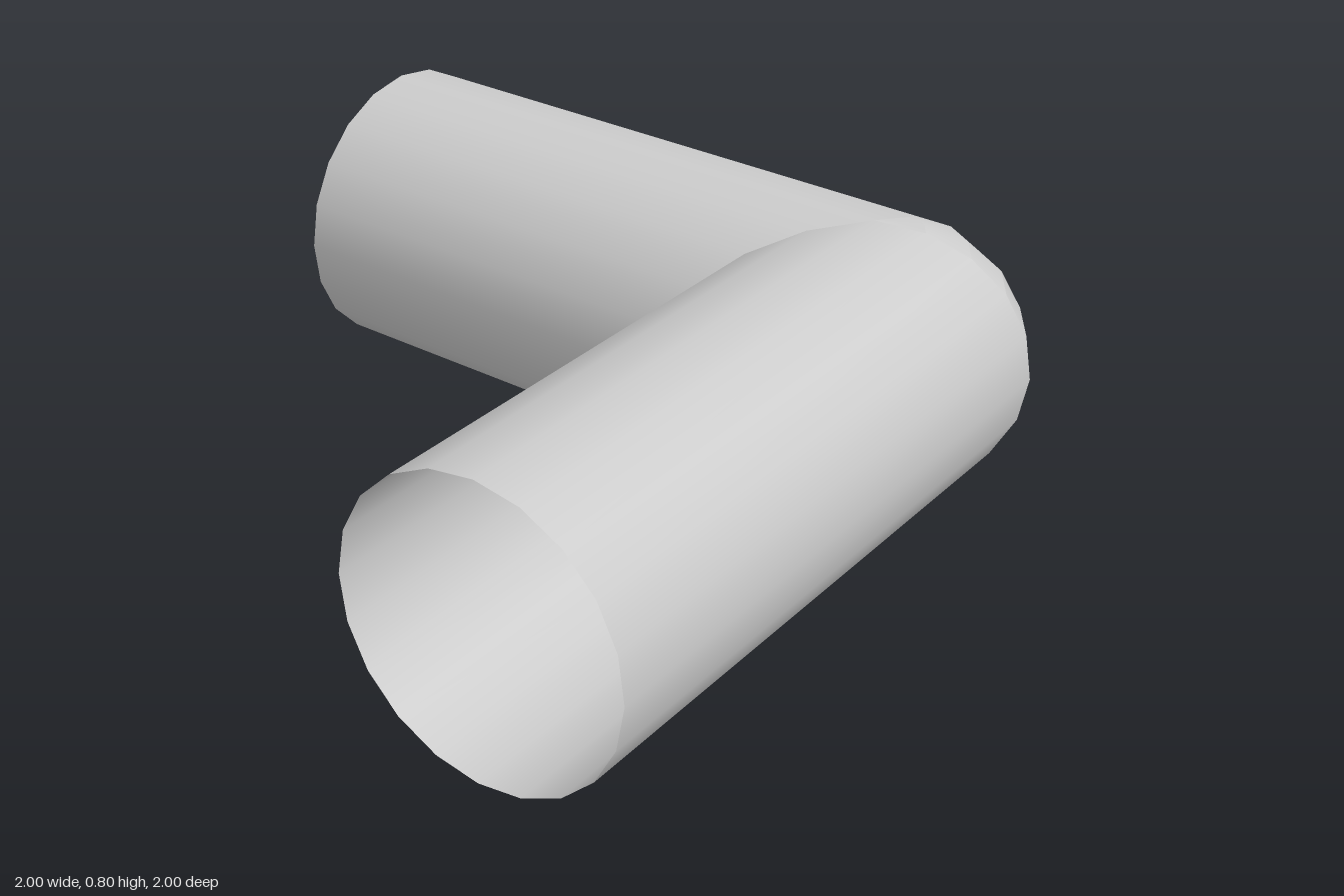
import * as THREE from 'three';
import { mergeGeometries } from 'three/addons/utils/BufferGeometryUtils.js';

const R = 0.4;          // pipe radius
const C = 0.6;          // corner axis at x = C, z = -C
const SIDES = 20;
const BEND = Math.PI / 8;

// Surface between two rows of {p, n} points
function strip(a, b) {
  const geo = new THREE.BufferGeometry();
  const rows = [...a, ...b], m = a.length, index = [];
  for (let i = 0; i < m - 1; i++) index.push(i, i + 1, m + i, i + 1, m + i + 1, m + i);
  geo.setAttribute('position', new THREE.Float32BufferAttribute(rows.flatMap(v => v.p), 3));
  geo.setAttribute('normal', new THREE.Float32BufferAttribute(rows.flatMap(v => v.n), 3));
  geo.setIndex(index);
  return geo;
}

// Open pipe arm: mitred on the inside of the bend, cut at 22.5 degrees on the outside
function armGeometry(mirrored) {
  const far = [], near = [];
  for (let i = 0; i <= SIDES; i++) {
    const t = (mirrored ? -1 : 1) * i / SIDES * Math.PI * 2;
    const c = Math.cos(t), s = Math.sin(t);
    const end = -C - R * c * (c > 0 ? Math.tan(BEND) : 1);
    const place = (x, y, z) => mirrored ? [-z, y, -x] : [x, y, z];
    const n = place(c, s, 0);
    far.push({ p: place(C + R * c, R + R * s, end), n });
    near.push({ p: place(C + R * c, R + R * s, 1), n });
  }
  return strip(far, near);
}

// Faceted outer corner: horizontal bands spanning three half rings
function cornerGeometry() {
  const bands = [], step = Math.PI * 2 / SIDES;
  for (let k = -SIDES / 4; k < SIDES / 4; k++) {
    const mid = (k + 0.5) * step;
    const row = t => [1, 2, 3].map(j => {
      const f = j * BEND, r = R * Math.cos(t) / Math.cos(BEND);
      return {
        p: [C + r * Math.cos(f), R + R * Math.sin(t), -C - r * Math.sin(f)],
        n: [Math.cos(f) * Math.cos(mid), Math.sin(mid), -Math.sin(f) * Math.cos(mid)],
      };
    });
    bands.push(strip(row(k * step), row((k + 1) * step)));
  }
  return mergeGeometries(bands);
}

export function createModel() {
  const group = new THREE.Group();
  group.name = 'pipeElbow';
  const material = new THREE.MeshStandardMaterial({ color: 0xcccccc, side: THREE.DoubleSide });
  const add = (name, geo) => {
    const mesh = new THREE.Mesh(geo, material);
    mesh.name = name;
    group.add(mesh);
  };
  add('frontArm', armGeometry(false));
  add('sideArm', armGeometry(true));
  add('outerCorner', cornerGeometry());
  return group;
}
